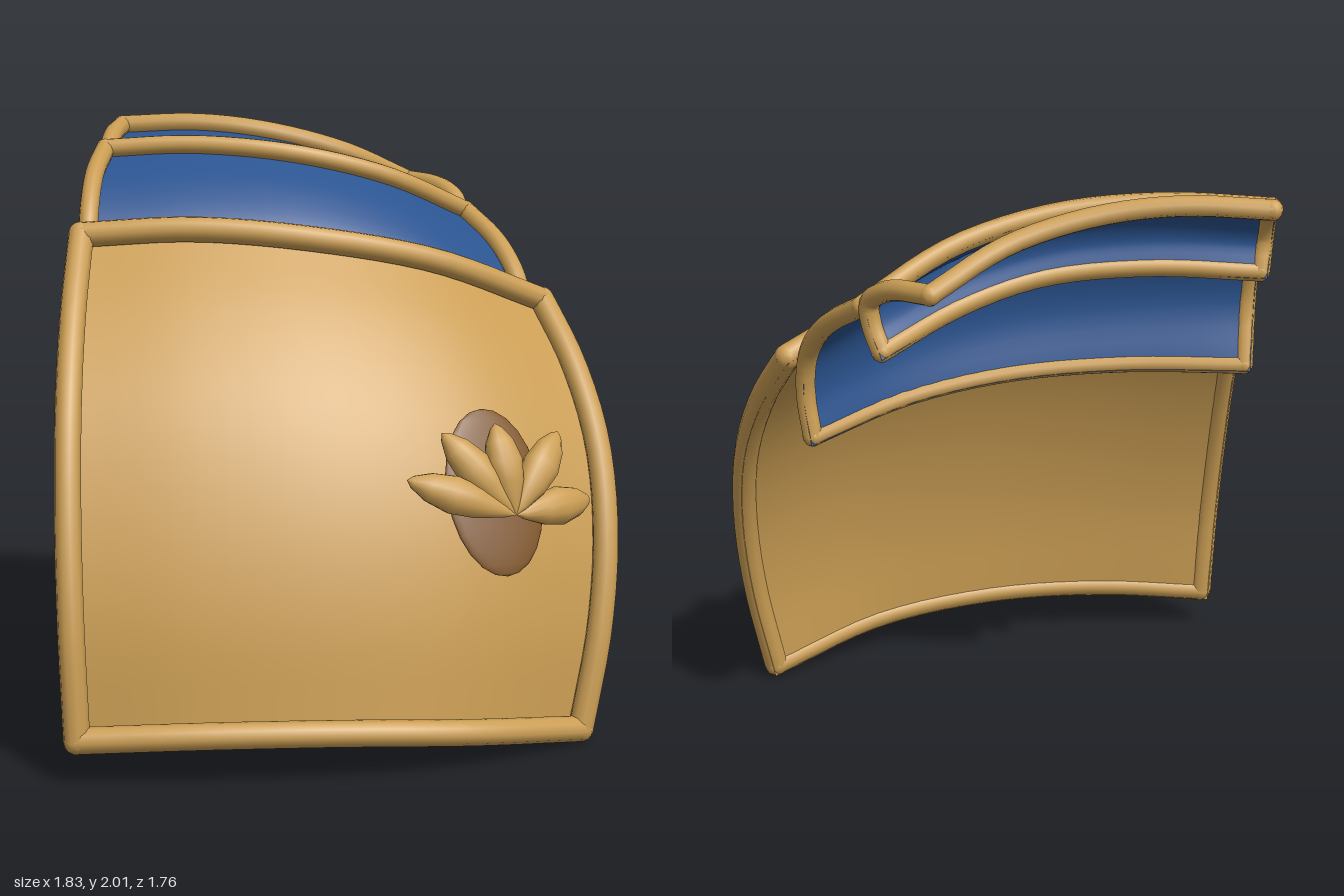
import * as THREE from 'three';

const tan = new THREE.MeshStandardMaterial({ color: 0xcb9e54, side: THREE.DoubleSide });
const blue = new THREE.MeshStandardMaterial({ color: 0x2b5490, side: THREE.DoubleSide });
const brown = new THREE.MeshStandardMaterial({ color: 0x82592f });

const V = (p) => new THREE.Vector3(...p);
const curve = (pts) => new THREE.CatmullRomCurve3(pts.map(V));

// Surface spanned between four edge curves; u runs from right (-x) to left (+x), v upward
function patch({ bottom, top, left, right }) {
  const [b, t, l, r] = [bottom, top, left, right].map(curve);
  const c00 = V(bottom[0]), c10 = V(bottom.at(-1)), c01 = V(top[0]), c11 = V(top.at(-1));
  const at = (u, v) => new THREE.Vector3()
    .addScaledVector(b.getPoint(u), 1 - v).addScaledVector(t.getPoint(u), v)
    .addScaledVector(r.getPoint(v), 1 - u).addScaledVector(l.getPoint(v), u)
    .addScaledVector(c00, -(1 - u) * (1 - v)).addScaledVector(c10, -u * (1 - v))
    .addScaledVector(c01, -(1 - u) * v).addScaledVector(c11, -u * v);
  // Unit directions across, up and out of the surface
  const frame = (u, v) => {
    const e = 0.02, u0 = Math.max(u - e, 0), u1 = Math.min(u + e, 1);
    const v0 = Math.max(v - e, 0), v1 = Math.min(v + e, 1);
    const across = at(u1, v).sub(at(u0, v)).normalize();
    const up = at(u, v1).sub(at(u, v0)).normalize();
    return { across, up, out: across.clone().cross(up).normalize() };
  };
  return { at, frame };
}

function mesh(name, geometry, material) {
  const m = new THREE.Mesh(geometry, material);
  m.name = name;
  return m;
}

// Curved sheet with a rounded trim along its four edges; the sheet lies behind the trim
function plate(name, surf, material, radius) {
  const g = new THREE.Group();
  g.name = name;
  const geo = new THREE.PlaneGeometry(1, 1, 20, 20);
  const pos = geo.attributes.position;
  for (let i = 0; i < pos.count; i++) {
    const u = pos.getX(i) + 0.5, v = pos.getY(i) + 0.5;
    const { across, up, out } = surf.frame(u, v);
    const p = surf.at(u, v).addScaledVector(out, -radius * 0.7)
      .addScaledVector(across, (2 * u - 1) * radius * 0.7)
      .addScaledVector(up, (2 * v - 1) * radius * 0.7);
    pos.setXYZ(i, p.x, p.y, p.z);
  }
  geo.computeVertexNormals();
  g.add(mesh(name + 'Sheet', geo, material));

  const edges = {
    bottomTrim: (t) => [t, 0], topTrim: (t) => [t, 1],
    leftTrim: (t) => [1, t], rightTrim: (t) => [0, t],
  };
  for (const [edge, uv] of Object.entries(edges)) {
    const pts = [];
    for (let i = 0; i <= 12; i++) pts.push(surf.at(...uv(i / 12)));
    const path = new THREE.CatmullRomCurve3(pts);
    g.add(mesh(edge, new THREE.TubeGeometry(path, 20, radius, 10), tan));
  }
  // Corner joints close the trim ends
  for (const [u, v] of [[0, 0], [1, 0], [0, 1], [1, 1]]) {
    const joint = mesh('trimCorner', new THREE.SphereGeometry(radius * 1.02, 10, 8), tan);
    joint.position.copy(surf.at(u, v));
    g.add(joint);
  }
  return g;
}

// Flower emblem: an oval boss with a fan of five petals
function flower(surf) {
  const g = new THREE.Group();
  g.name = 'flowerEmblem';
  // Nearest point on the plate to a given front position
  const locate = (x, y) => {
    let best, d = 9;
    for (let i = 0; i <= 60; i++) for (let j = 0; j <= 60; j++) {
      const p = surf.at(i / 60, j / 60), e = Math.hypot(p.x - x, p.y - y);
      if (e < d) { d = e; best = { p, n: surf.frame(i / 60, j / 60).out }; }
    }
    return best;
  };
  const orient = (m, yDir, zDir) => {
    const y = yDir.clone().normalize();
    const x = y.clone().cross(zDir).normalize();
    m.quaternion.setFromRotationMatrix(new THREE.Matrix4().makeBasis(x, y, x.clone().cross(y)));
  };

  const { p: c, n } = locate(0.5, 0.87);
  const boss = mesh('ovalBoss', new THREE.SphereGeometry(1, 24, 12), brown);
  boss.scale.set(0.18, 0.275, 0.025);
  boss.position.copy(c);
  const along = new THREE.Vector3(-0.12, 0.5, -0.23);
  orient(boss, along.addScaledVector(n, -along.dot(n)), n);
  g.add(boss);

  const base = locate(0.54, 0.79).p.add(new THREE.Vector3(0.01, 0.01, 0.1));
  const profile = [[0, 0], [0.05, 0.1], [0.13, 0.35], [0.16, 0.58], [0.12, 0.8], [0.05, 0.95], [0, 1]]
    .map((p) => new THREE.Vector2(...p));
  const tips = [[-0.35, 0.13, 0.08], [-0.24, 0.26, -0.03], [-0.07, 0.28, -0.09],
    [0.14, 0.23, -0.21], [0.25, 0.0, -0.24]];
  for (const tip of tips) {
    const dir = V(tip);
    const petal = mesh('petal', new THREE.LatheGeometry(profile, 12), tan);
    petal.scale.set(0.4, dir.length(), 0.33);
    petal.position.copy(base);
    orient(petal, dir, n);
    g.add(petal);
  }
  return g;
}

export function createModel() {
  const model = new THREE.Group();
  model.name = 'shoulderGuard';

  const main = patch({
    bottom: [[-0.82, 0.14, 0.83], [-0.42, 0.16, 0.835], [0, 0.155, 0.78], [0.42, 0.115, 0.64], [0.79, 0.04, 0.37]],
    top: [[-0.875, 1.65, 0.12], [-0.5, 1.67, 0.125], [-0.1, 1.635, 0.095], [0.3, 1.55, -0.03], [0.67, 1.39, -0.24]],
    left: [[0.79, 0.04, 0.37], [0.85, 0.37, 0.31], [0.87, 0.68, 0.22], [0.845, 0.96, 0.09], [0.77, 1.2, -0.07], [0.67, 1.39, -0.24]],
    right: [[-0.82, 0.14, 0.83], [-0.835, 0.5, 0.8], [-0.85, 0.84, 0.71], [-0.862, 1.15, 0.57], [-0.872, 1.42, 0.36], [-0.875, 1.65, 0.12]],
  });
  const middle = patch({
    bottom: [[-0.85, 1.28, 0.02], [-0.45, 1.28, 0.045], [-0.05, 1.26, 0.0], [0.3, 1.21, -0.115], [0.59, 1.14, -0.31]],
    top: [[-0.85, 1.9, -0.34], [-0.55, 1.915, -0.335], [-0.2, 1.885, -0.34], [0.13, 1.8, -0.435], [0.41, 1.66, -0.63]],
    left: [[0.59, 1.14, -0.31], [0.61, 1.29, -0.3], [0.595, 1.43, -0.34], [0.525, 1.56, -0.47], [0.41, 1.66, -0.63]],
    right: [[-0.85, 1.28, 0.02], [-0.86, 1.5, 0.075], [-0.865, 1.68, 0.015], [-0.865, 1.82, -0.14], [-0.85, 1.9, -0.34]],
  });
  const upper = patch({
    bottom: [[-0.84, 1.7, -0.37], [-0.5, 1.715, -0.36], [-0.15, 1.69, -0.39], [0.12, 1.62, -0.5], [0.35, 1.53, -0.68]],
    top: [[-0.83, 1.96, -0.66], [-0.56, 1.97, -0.645], [-0.3, 1.94, -0.65], [-0.03, 1.865, -0.71], [0.2, 1.75, -0.85]],
    left: [[0.35, 1.53, -0.68], [0.38, 1.61, -0.655], [0.385, 1.68, -0.66], [0.32, 1.735, -0.735], [0.2, 1.75, -0.85]],
    right: [[-0.84, 1.7, -0.37], [-0.85, 1.8, -0.35], [-0.85, 1.88, -0.4], [-0.845, 1.935, -0.51], [-0.83, 1.96, -0.66]],
  });

  model.add(
    plate('mainPlate', main, tan, 0.043),
    plate('middlePlate', middle, blue, 0.033),
    plate('upperPlate', upper, blue, 0.033),
    flower(main),
  );
  return model;
}
